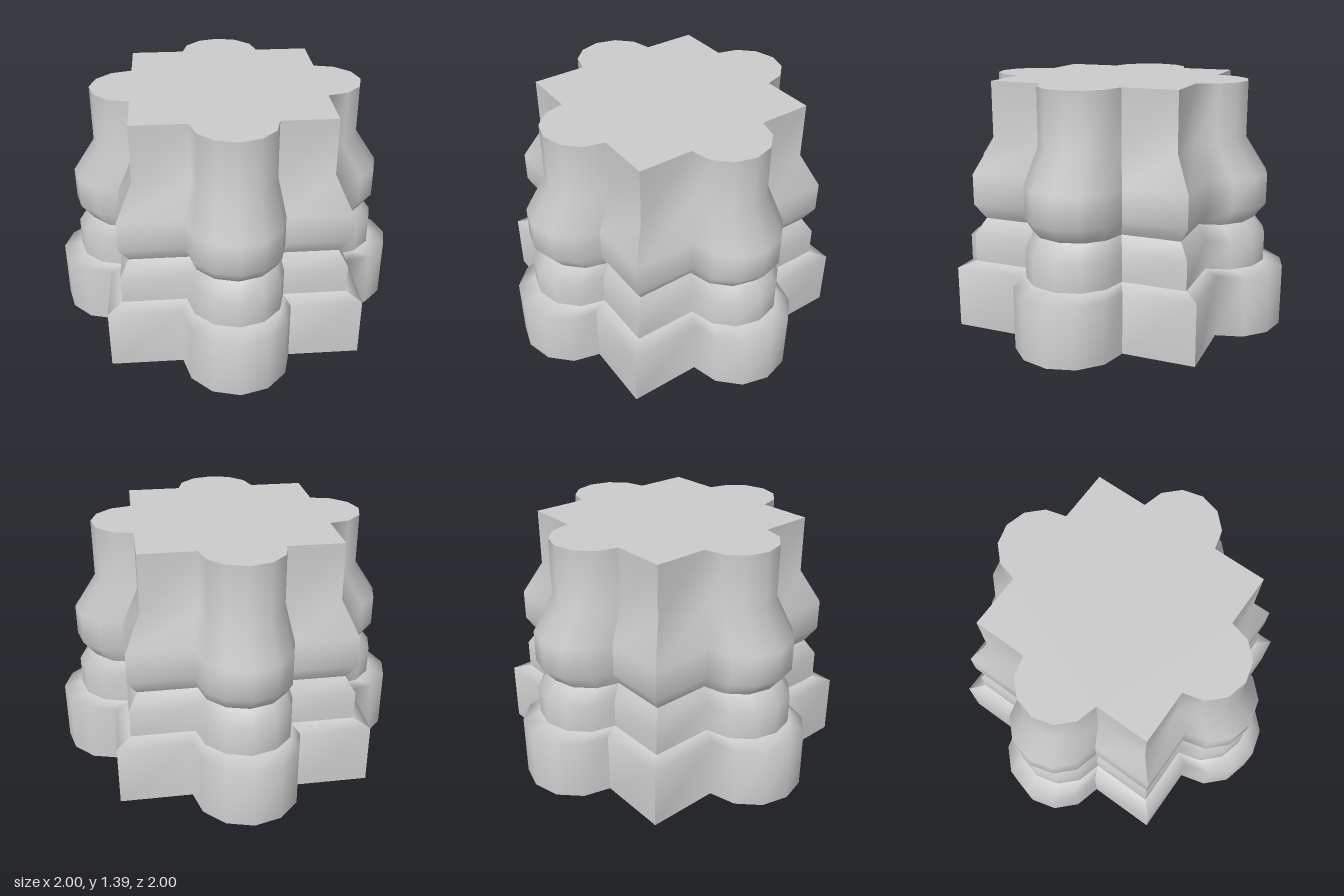
import * as THREE from 'three';
import { mergeGeometries } from 'three/addons/utils/BufferGeometryUtils.js';

const material = new THREE.MeshStandardMaterial({ color: 0xcccccc, side: THREE.DoubleSide });
const SQUARE = 0.7, LOBE = 0.3, LOBE_SEGMENTS = 6;

// One side of the plan: a straight run, the half-round lobe, a straight run.
// Each chain is smooth along its length and creased at its ends.
function sideChains() {
  const lobe = [];
  for (let i = 0; i <= LOBE_SEGMENTS; i++) {
    const a = Math.PI * (1 - i / LOBE_SEGMENTS);
    lobe.push([LOBE * Math.cos(a), SQUARE + LOBE * Math.sin(a)]);
  }
  return [
    [[-SQUARE, SQUARE], ...lobe],
    [[LOBE, SQUARE], [SQUARE, SQUARE]],
  ];
}

// Sweep a chain of [x, z] points up a profile of [scale, y] rings
function wall(chain, profile) {
  const pos = [], index = [], n = chain.length;
  for (const [s, y] of profile) for (const [x, z] of chain) pos.push(x * s, y, z * s);
  for (let j = 0; j < profile.length - 1; j++) {
    for (let i = 0; i < n - 1; i++) {
      const a = j * n + i, b = a + 1, c = a + n, d = c + 1;
      index.push(a, b, d, a, d, c);
    }
  }
  const g = new THREE.BufferGeometry();
  g.setAttribute('position', new THREE.Float32BufferAttribute(pos, 3));
  g.setIndex(index);
  g.computeVertexNormals();
  return g;
}

// Four-sided band of walls
function band(name, profile) {
  const parts = [];
  for (let k = 0; k < 4; k++) {
    for (const chain of sideChains()) parts.push(wall(chain, profile).rotateY(k * Math.PI / 2));
  }
  const mesh = new THREE.Mesh(mergeGeometries(parts), material);
  mesh.name = name;
  return mesh;
}

// Flat lid with the same plan
function lid(scale, y) {
  const points = [];
  for (let k = 0; k < 4; k++) {
    for (const chain of sideChains()) {
      for (const [x, z] of chain.slice(0, -1)) {
        points.push(new THREE.Vector2(x * scale, -z * scale).rotateAround(new THREE.Vector2(), k * Math.PI / 2));
      }
    }
  }
  const g = new THREE.ShapeGeometry(new THREE.Shape(points)).rotateX(-Math.PI / 2).translate(0, y, 0);
  const mesh = new THREE.Mesh(g, material);
  mesh.name = 'topCap';
  return mesh;
}

export function createModel() {
  const group = new THREE.Group();
  group.name = 'columnBase';
  group.add(
    band('plinth', [[1, 0], [1, 0.347], [0.89, 0.374]]),
    band('lowerMoulding', [[0.89, 0.374], [0.89, 0.535], [0.82, 0.62]]),
    band('bulgingShaft', [[0.82, 0.62], [0.89, 0.706], [0.89, 0.88], [0.763, 1.072], [0.763, 1.39]]),
    lid(0.763, 1.39),
  );
  return group;
}
